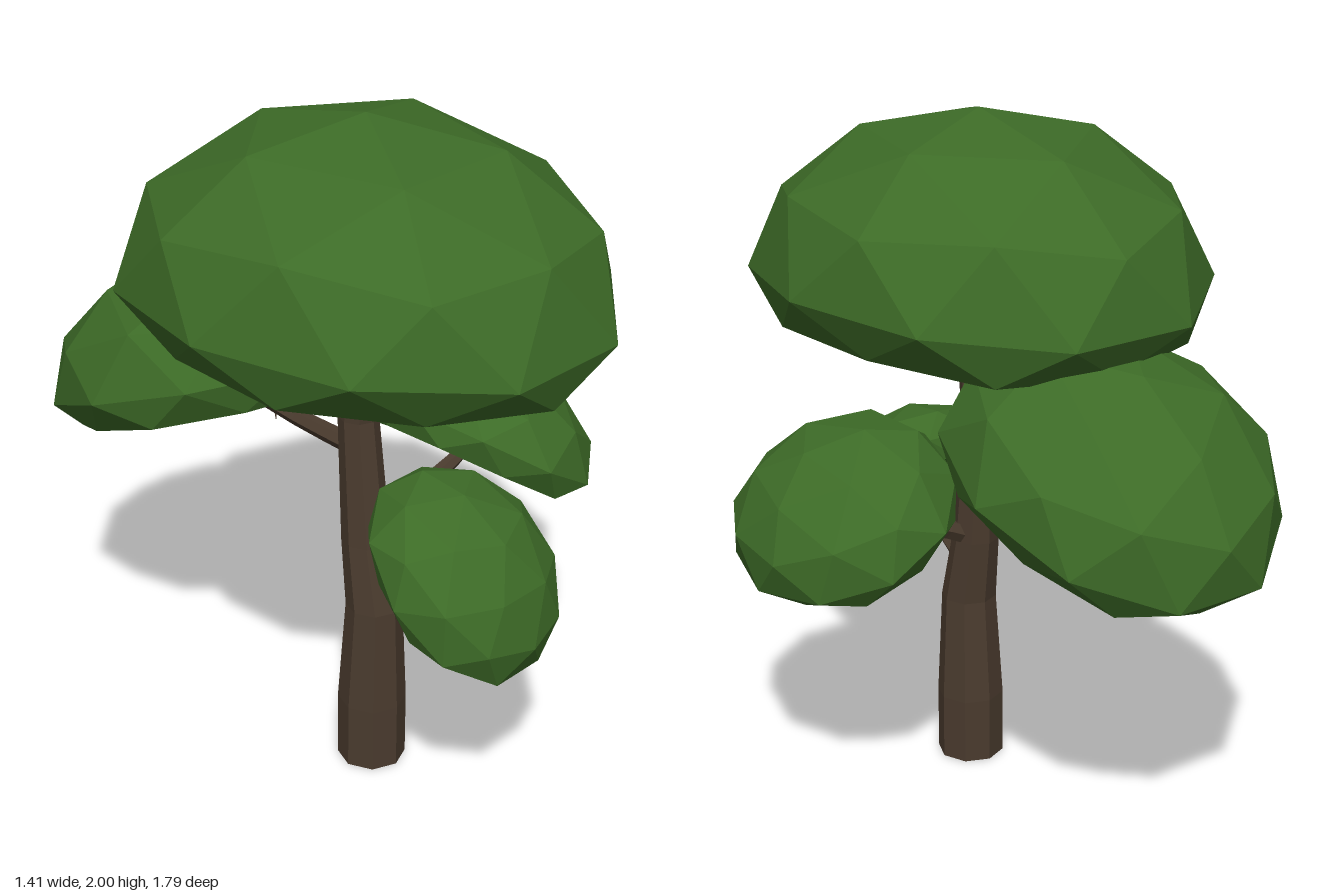
import * as THREE from 'three';

const leaf = new THREE.MeshStandardMaterial({ color: 0x3d6b27, flatShading: true });
leaf.name = 'leaf green';
const bark = new THREE.MeshStandardMaterial({ color: 0x4a3b2e, flatShading: true });
bark.name = 'bark brown';

// Faceted dome: low-poly ball with a flattened underside, drooping at both z ends
function domeGeometry() {
  const g = new THREE.IcosahedronGeometry(1, 1);
  g.rotateZ(Math.atan2(2, 1 + Math.sqrt(5)));
  g.rotateY(-Math.PI / 2);
  const p = g.attributes.position;
  for (let i = 0; i < p.count; i++) {
    const z = p.getZ(i) * 0.73;
    const y = Math.max(p.getY(i), -0.3) * 0.45 - 0.1 * z * z;
    p.setXYZ(i, p.getX(i) * 0.63, y, z);
  }
  g.computeVertexNormals();
  return g;
}

// Trunk: stacked rings [x, y, z, radius], closed at both ends
function trunkGeometry(rings) {
  const n = rings.length - 1;
  const g = new THREE.CylinderGeometry(1, 1, 1, 8, n);
  const p = g.attributes.position;
  for (let i = 0; i < p.count; i++) {
    const [x, y, z, r] = rings[Math.round((p.getY(i) + 0.5) * n)];
    p.setXYZ(i, x + p.getX(i) * r, y, z + p.getZ(i) * r);
  }
  g.computeVertexNormals();
  return g;
}

// Branch: tube along a curve, narrowing from r0 to r1
function branchGeometry(points, r0, r1, sides = 6) {
  const curve = new THREE.CatmullRomCurve3(points.map((a) => new THREE.Vector3(...a)));
  const segments = 5;
  const g = new THREE.TubeGeometry(curve, segments, r0, sides, false);
  const p = g.attributes.position;
  const v = new THREE.Vector3();
  for (let i = 0; i < p.count; i++) {
    const t = Math.floor(i / (sides + 1)) / segments;
    const c = curve.getPointAt(t);
    v.fromBufferAttribute(p, i).sub(c).multiplyScalar(1 + (r1 / r0 - 1) * t).add(c);
    p.setXYZ(i, v.x, v.y, v.z);
  }
  g.computeVertexNormals();
  return g;
}

export function createModel() {
  const tree = new THREE.Group();
  tree.name = 'tree';
  const add = (name, geometry, material) => {
    const m = new THREE.Mesh(geometry, material);
    m.name = name;
    tree.add(m);
    return m;
  };

  add('trunk', trunkGeometry([
    [-0.04, 0, 0.21, 0.1],
    [-0.04, 0.2, 0.21, 0.1],
    [-0.04, 0.52, 0.215, 0.082],
    [-0.04, 0.72, 0.18, 0.07],
    [-0.04, 1.1, 0.148, 0.058],
    [-0.04, 1.28, 0.175, 0.052],
    [-0.04, 1.5, 0.19, 0.045],
  ]), bark);

  // Branches, each with a tiny twig hanging below
  add('backBranch', branchGeometry(
    [[-0.04, 1.0, 0.14], [-0.05, 1.02, -0.1], [-0.06, 1.06, -0.32], [-0.07, 1.1, -0.4]], 0.03, 0.018), bark);
  add('sideBranch', branchGeometry(
    [[-0.02, 0.73, 0.18], [0.12, 0.79, 0.185], [0.28, 0.82, 0.19], [0.4, 0.88, 0.195]], 0.032, 0.02), bark);
  add('frontBranch', branchGeometry(
    [[-0.04, 0.59, 0.2], [-0.045, 0.65, 0.3], [-0.06, 0.7, 0.44], [-0.07, 0.76, 0.55]], 0.028, 0.018), bark);
  for (const [x, y, z] of [[-0.05, 1.02, -0.17], [0.235, 0.81, 0.19], [-0.055, 0.685, 0.4]]) {
    add('twig', branchGeometry([[x, y, z], [x, y - 0.02, z], [x + 0.002, y - 0.04, z]], 0.005, 0.002, 4), bark);
  }

  // Canopies: one dome, scaled and tilted outward
  const dome = domeGeometry();
  const canopies = [
    ['topCanopy', [-0.07, 1.55, 0.195], 1, 0, 0],
    ['backCanopy', [-0.07, 1.11, -0.415], 0.725, -22, 0],
    ['sideCanopy', [0.41, 0.905, 0.195], 0.526, 0, -31],
    ['frontCanopy', [-0.07, 0.785, 0.57], 0.444, 45, 0],
  ];
  for (const [name, position, scale, tiltX, tiltZ] of canopies) {
    const m = add(name, dome, leaf);
    m.position.set(...position);
    m.scale.setScalar(scale);
    m.rotation.set(THREE.MathUtils.degToRad(tiltX), 0, THREE.MathUtils.degToRad(tiltZ));
  }
  return tree;
}
